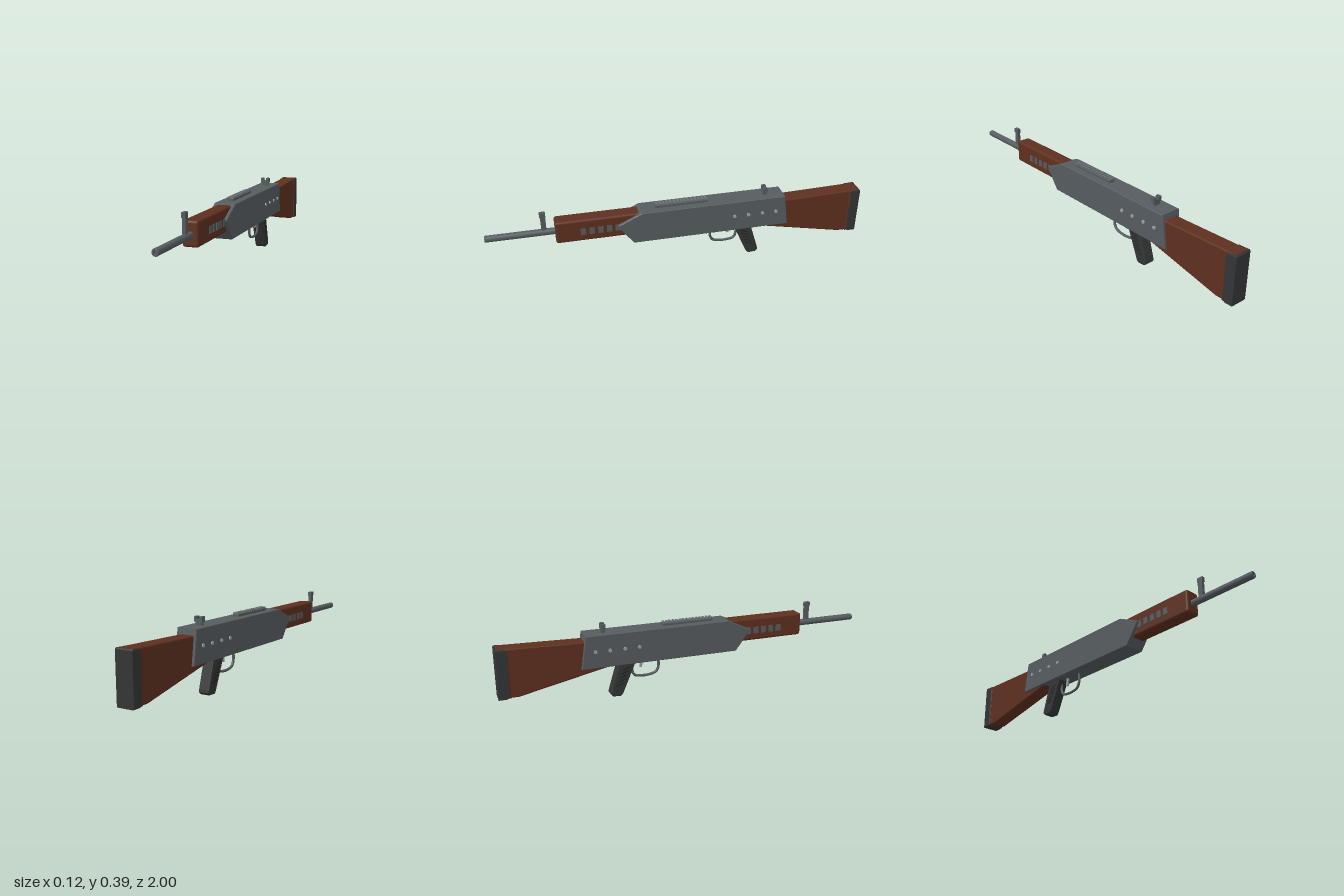
import * as THREE from 'three';
import { RoundedBoxGeometry } from 'three/addons/geometries/RoundedBoxGeometry.js';

const mat = (name, color) => {
  const m = new THREE.MeshStandardMaterial({ color });
  m.name = name;
  return m;
};

export function createModel() {
  const model = new THREE.Group();
  model.name = 'rifle';
  const metal = mat('gunmetal', 0x565c60);
  const wood = mat('wood', 0x5e301f);
  const rubber = mat('black polymer', 0x343536);
  const darkRib = mat('dark rib', 0x232425);
  const steel = mat('bright steel', 0x9c9fa1);
  const railGrey = mat('rail grey', 0x6c7275);

  const add = (name, geometry, material, x = 0, y = 0, z = 0) => {
    const mesh = new THREE.Mesh(geometry, material);
    mesh.name = name;
    mesh.position.set(x, y, z);
    model.add(mesh);
    return mesh;
  };
  const box = (name, material, w, h, d, x, y, z) =>
    add(name, new THREE.BoxGeometry(w, h, d), material, x, y, z);

  // Side profile of [z, y] points, extruded across x with bevelled edges
  const slab = (name, material, points, halfWidth, bevel, segments = 1) => {
    const shape = new THREE.Shape(points.map(([z, y]) => new THREE.Vector2(z, y)));
    const depth = 2 * (halfWidth - bevel);
    const g = new THREE.ExtrudeGeometry(shape, {
      depth, bevelEnabled: true, bevelThickness: bevel, bevelSize: bevel,
      bevelOffset: -bevel, bevelSegments: segments,
    });
    g.translate(0, 0, -depth / 2).rotateY(-Math.PI / 2);
    return add(name, g, material);
  };

  // Receiver
  slab('receiver', metal, [
    [0.254, 0.18], [0.33, 0.284], [0.33, 0.294], [0.208, 0.352],
    [-0.562, 0.352], [-0.587, 0.18],
  ], 0.056, 0.003);

  // Handguard with metal vents on both sides
  add('handguard', new RoundedBoxGeometry(0.08, 0.123, 0.5, 3, 0.012), wood, 0, 0.284, 0.4);
  for (const side of [-1, 1]) {
    for (let i = 0; i < 5; i++) {
      box('vent', metal, 0.008, 0.036, 0.027, side * 0.0395, 0.279, 0.51 - i * 0.0445);
    }
  }

  // Hollow barrel
  const bore = [[0.009, 0.85], [0.009, 1.0], [0.015, 1.0], [0.0175, 0.997], [0.0175, 0.6]];
  const barrel = new THREE.LatheGeometry(
    bore.map(([r, z]) => new THREE.Vector2(r, z)).reverse(), 28).toNonIndexed();
  barrel.rotateX(Math.PI / 2);
  barrel.computeVertexNormals();
  const barrelMat = metal.clone();
  barrelMat.name = 'barrel metal';
  barrelMat.side = THREE.DoubleSide;
  add('barrel', barrel, barrelMat, 0, 0.28, 0);
  add('boreFloor', new THREE.CircleGeometry(0.009, 20), metal, 0, 0.28, 0.985);

  // Front sight
  box('frontSightPost', metal, 0.017, 0.09, 0.026, 0, 0.325, 0.704);
  box('frontSightTop', metal, 0.019, 0.025, 0.031, 0, 0.3825, 0.705);

  // Rear sight with a notch
  box('rearSightBase', metal, 0.036, 0.022, 0.018, 0, 0.361, -0.462);
  box('rearSightBar', metal, 0.048, 0.014, 0.022, 0, 0.375, -0.462);
  for (const side of [-1, 1]) {
    box('rearSightWing', metal, 0.016, 0.016, 0.022, side * 0.016, 0.387, -0.462);
  }

  // Toothed top rail
  box('railBase', metal, 0.034, 0.012, 0.276, 0, 0.357, -0.007);
  for (let i = 0; i < 15; i++) {
    box('railTooth', railGrey, 0.032, 0.011, 0.011, 0, 0.367, 0.124 - i * 0.0187);
  }

  // Stock, butt flange and butt pad
  slab('stock', wood, [
    [-0.4, 0.184], [-0.4, 0.312], [-0.55, 0.32], [-0.99, 0.331],
    [-0.99, 0.077], [-0.9, 0.077],
  ], 0.042, 0.008, 3);
  slab('buttFlange', wood, [
    [-0.939, 0.077], [-0.939, 0.328], [-0.949, 0.328], [-0.949, 0.077],
  ], 0.047, 0.003);
  slab('buttPad', rubber, [
    [-0.943, 0.08], [-0.943, 0.327], [-0.995, 0.33], [-1.0, 0.324], [-1.0, 0.073], [-0.96, 0.073],
  ], 0.048, 0.005, 2);

  // Pistol grip with side ribs
  slab('grip', rubber, [
    [-0.295, 0.19], [-0.372, 0.012], [-0.384, 0.001], [-0.425, 0.003],
    [-0.437, 0.016], [-0.434, 0.03], [-0.385, 0.19],
  ], 0.03, 0.005, 2);
  for (const side of [-1, 1]) {
    for (let i = 0; i < 5; i++) {
      const rib = box('gripRib', darkRib, 0.004, 0.006, 0.045,
        side * 0.0295, 0.15 - i * 0.021, -0.35 - i * 0.009);
      rib.rotation.x = -0.35;
    }
  }

  // Trigger guard and trigger
  const guardPath = new THREE.CatmullRomCurve3([
    [0.19, -0.17], [0.125, -0.17], [0.1, -0.186], [0.09, -0.225],
    [0.09, -0.265], [0.098, -0.3], [0.12, -0.312], [0.18, -0.314],
  ].map(([y, z]) => new THREE.Vector3(0, y, z)));
  add('triggerGuard', new THREE.TubeGeometry(guardPath, 40, 0.007, 10, false), metal);
  const trigger = box('trigger', steel, 0.01, 0.055, 0.013, 0, 0.165, -0.264);
  trigger.rotation.x = 0.08;

  // Receiver pins running through both sides
  for (const z of [-0.286, -0.362, -0.44, -0.515]) {
    const pin = new THREE.CylinderGeometry(0.009, 0.009, 0.125, 16).rotateZ(Math.PI / 2);
    add('pin', pin, steel, 0, 0.268, z);
  }

  return model;
}
